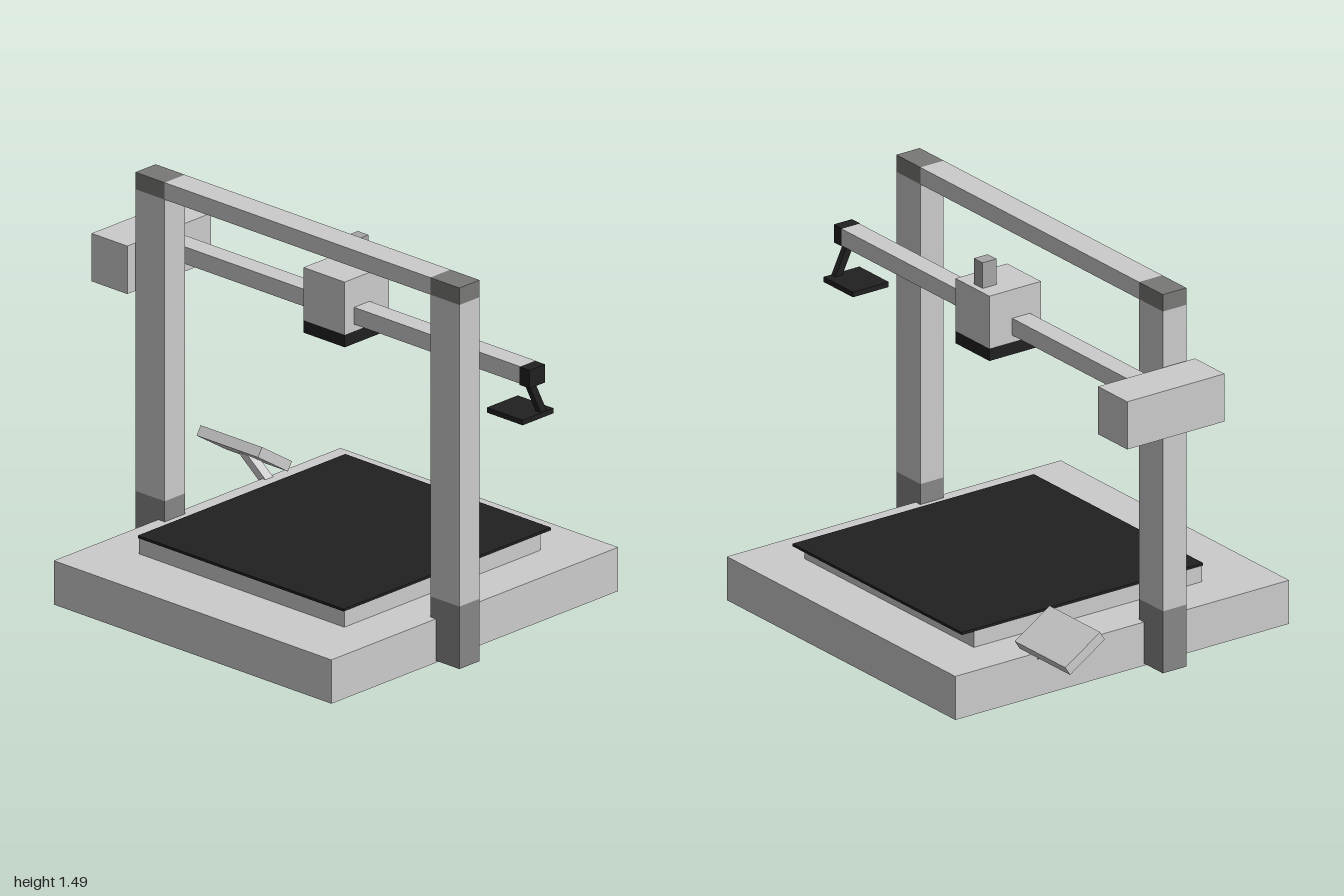
import * as THREE from 'three';

export function createModel() {
  const model = new THREE.Group();
  const mat = (color) => new THREE.MeshStandardMaterial({ color, flatShading: true });
  const grey = mat(0xcccccc), midGrey = mat(0xa6a6a6), footGrey = mat(0x868686);
  const capGrey = mat(0x787876), black = mat(0x202020);

  // box from its [min, max] extent on each axis
  function box(name, [x0, x1], [y0, y1], [z0, z1], material = grey) {
    const mesh = new THREE.Mesh(new THREE.BoxGeometry(x1 - x0, y1 - y0, z1 - z0), material);
    mesh.position.set((x0 + x1) / 2, (y0 + y1) / 2, (z0 + z1) / 2);
    mesh.name = name;
    model.add(mesh);
    return mesh;
  }

  // square bar between two points
  function bar(name, from, to, width, depth, material) {
    const a = new THREE.Vector3(...from), b = new THREE.Vector3(...to);
    const dir = b.clone().sub(a);
    const mesh = new THREE.Mesh(new THREE.BoxGeometry(width, dir.length(), depth), material);
    mesh.position.copy(a).add(b).multiplyScalar(0.5);
    mesh.quaternion.setFromUnitVectors(new THREE.Vector3(0, 1, 0), dir.normalize());
    mesh.name = name;
    model.add(mesh);
  }

  // base, bed and build plate
  box('base', [-0.7, 0.68], [0, 0.17], [-0.747, 0.747]);
  box('bed', [-0.524, 0.497], [0.17, 0.232], [-0.534, 0.488]);
  box('buildPlate', [-0.525, 0.498], [0.232, 0.242], [-0.588, 0.492], black);

  // uprights with dark feet and corner caps, joined by the top beam
  const frameZ = [0.098, 0.203];
  for (const [side, x] of [['right', [-0.813, -0.668]], ['left', [0.652, 0.797]]]) {
    box(side + 'Foot', x, [0.008, 0.25], frameZ, footGrey);
    box(side + 'Post', x, [0.25, 1.42], frameZ);
    box(side + 'CornerCap', x, [1.42, 1.486], frameZ, capGrey);
  }
  box('topBeam', [-0.668, 0.652], [1.42, 1.486], frameZ);

  // cross rail with motor housing
  box('crossRail', [-0.823, 0.95], [1.112, 1.178], [-0.033, 0.047]);
  box('motorHousing', [-1, -0.823], [1.02, 1.206], [-0.2, 0.235]);

  // print head
  box('carriage', [-0.08, 0.125], [1.085, 1.29], [-0.135, 0.096]);
  box('nozzleBlock', [-0.08, 0.125], [1.037, 1.085], [-0.135, 0.096], black);
  box('filamentInlet', [-0.008, 0.045], [1.29, 1.39], [-0.112, -0.05], midGrey);

  // rail end with hanging arm and paddle
  box('railEnd', [0.95, 1], [1.108, 1.178], [-0.031, 0.05], black);
  bar('paddleArm', [0.975, 1.115, 0.024], [0.975, 0.982, -0.04], 0.025, 0.028, black);
  box('paddle', [0.813, 0.99], [0.97, 0.99], [-0.084, 0.076], black);

  // tilted control screen on a short strut
  const screen = box('controlScreen', [-0.962, -0.657], [0.231, 0.271], [-0.453, -0.268]);
  screen.rotation.x = -0.57;
  bar('screenStrut', [-0.81, 0.25, -0.36], [-0.69, 0.155, -0.36], 0.03, 0.04, grey);

  return model;
}
